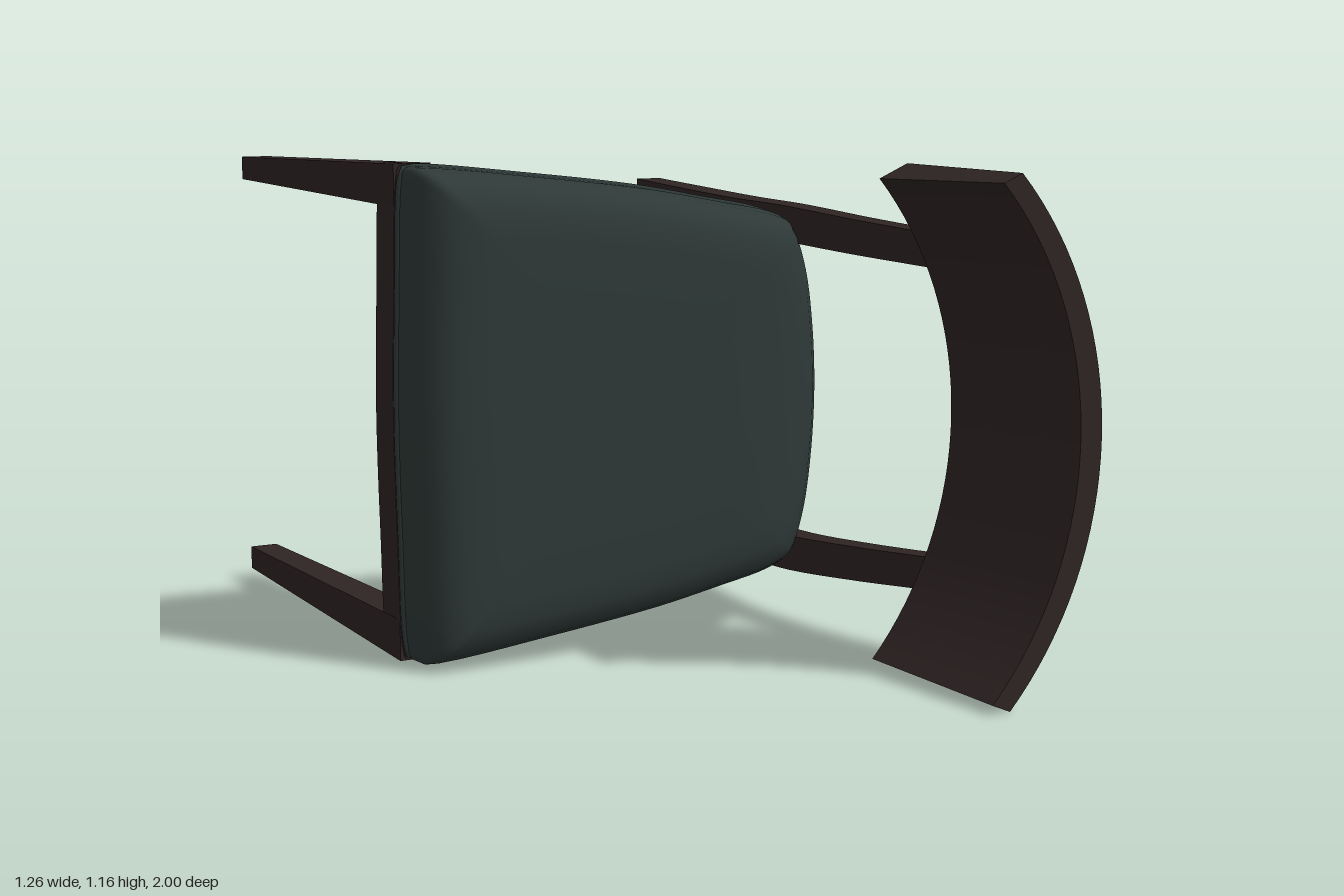
import * as THREE from 'three';
import { toCreasedNormals } from 'three/addons/utils/BufferGeometryUtils.js';

// Skins four-cornered sections; each side keeps its own vertices so long edges stay sharp.
function skin(sections) {
  const pos = [], idx = [], last = sections.length - 1;
  for (let k = 0; k < 4; k++) {
    const base = pos.length / 3;
    for (const s of sections) pos.push(...s[k], ...s[(k + 1) % 4]);
    for (let i = 0; i < last; i++) {
      const a = base + i * 2;
      idx.push(a, a + 1, a + 3, a, a + 3, a + 2);
    }
  }
  for (const [s, flip] of [[sections[0], true], [sections[last], false]]) {
    const b = pos.length / 3;
    for (const c of s) pos.push(...c);
    idx.push(...(flip ? [b, b + 2, b + 1, b, b + 3, b + 2] : [b, b + 1, b + 2, b, b + 2, b + 3]));
  }
  const g = new THREE.BufferGeometry();
  g.setAttribute('position', new THREE.Float32BufferAttribute(pos, 3));
  g.setIndex(idx);
  g.computeVertexNormals();
  return g;
}

// Closed smooth outline from one half, mirrored in y, counter-clockwise.
function outline(half, n) {
  const other = half.slice(1, -1).reverse().map(([x, y]) => [x, -y]);
  const pts = [...half, ...other].map(([x, y]) => new THREE.Vector3(x, y, 0));
  return new THREE.CatmullRomCurve3(pts, true, 'centripetal').getPoints(n).slice(0, n).reverse();
}

// The seat frame drops slightly towards the back.
const drop = (x) => -0.025 * (x + 0.6);

// Leg from rows of [z, x0, x1, y0, y1], smoothly interpolated; side mirrors it.
function leg(rows, side, steps) {
  const lo = new THREE.CatmullRomCurve3(rows.map(([z, x0, , y0]) => new THREE.Vector3(x0, y0, z)));
  const hi = new THREE.CatmullRomCurve3(rows.map(([z, , x1, , y1]) => new THREE.Vector3(x1, y1, z)));
  const sections = [];
  for (let i = 0; i <= steps; i++) {
    const a = lo.getPoint(i / steps), b = hi.getPoint(i / steps);
    const [y0, y1] = side > 0 ? [a.y, b.y] : [-b.y, -a.y];
    sections.push([[a.x, y0, a.z], [b.x, y0, b.z], [b.x, y1, b.z], [a.x, y1, a.z]]);
  }
  return skin(sections);
}

// Domed cushion: rings of the outline drawn in as they rise, plus a flat underside.
function cushionGeometry(ring) {
  const profile = [[-0.02, 0.008], [0.01, 0.004], [0.06, 0.006], [0.1, 0.016], [0.13, 0.034],
    [0.15, 0.06], [0.162, 0.095], [0.168, 0.15], [0.171, 0.25], [0.173, 0.4]];
  const n = ring.length, pos = [], idx = [], cx = -0.08;
  profile.forEach(([z, inset], r) => {
    const k = 1 - inset / 0.57;
    for (const p of ring) {
      const x = cx + (p.x - cx) * k;
      const sag = z > 0.05 ? -0.5 * Math.max(0, x - 0.22) ** 2 * 2 : 0;
      pos.push(x, p.y * k, z + sag + (z < 0.05 ? drop(x) : 0));
    }
    if (r) for (let i = 0; i < n; i++) {
      const a = (r - 1) * n + i, b = (r - 1) * n + (i + 1) % n;
      idx.push(a, b, b + n, a, b + n, a + n);
    }
  });
  const top = pos.length / 3, start = (profile.length - 1) * n;
  pos.push(cx, 0, 0.174);
  for (let i = 0; i < n; i++) idx.push(start + i, start + (i + 1) % n, top);
  const low = top + 1;
  pos.push(cx, 0, -0.02 + drop(cx));
  for (let i = 0; i < n; i++) pos.push(pos[i * 3], pos[i * 3 + 1], pos[i * 3 + 2]);
  for (let i = 0; i < n; i++) idx.push(low, low + 1 + (i + 1) % n, low + 1 + i);
  const g = new THREE.BufferGeometry();
  g.setAttribute('position', new THREE.Float32BufferAttribute(pos, 3));
  g.setIndex(idx);
  g.computeVertexNormals();
  return g;
}

export function createModel() {
  const wood = new THREE.MeshStandardMaterial({ color: 0x2f2424 });
  wood.name = 'dark wood';
  const leather = new THREE.MeshStandardMaterial({ color: 0x2e3937 });
  leather.name = 'dark green leather';

  const model = new THREE.Group();
  model.name = 'chair';
  const body = new THREE.Group();
  body.name = 'chairLyingOnSide';
  body.position.y = 0.58;
  model.add(body);
  const add = (name, geometry, material) => {
    const m = new THREE.Mesh(geometry, material);
    m.name = name;
    body.add(m);
  };

  // Seat frame: a ring of four rails
  const outer = outline([[-0.632, 0], [-0.626, 0.3], [-0.617, 0.54], [-0.607, 0.574], [-0.57, 0.576],
    [-0.3, 0.548], [0, 0.51], [0.2, 0.473], [0.35, 0.443], [0.4, 0.42], [0.45, 0.32],
    [0.483, 0.16], [0.494, 0]], 120);
  const inner = [[-0.54, 0.48], [-0.3, 0.462], [0, 0.425], [0.2, 0.39], [0.355, 0.355],
    [0.39, 0.2], [0.405, 0]];
  const hole = [...inner, ...inner.slice(0, -1).reverse().map(([x, y]) => [x, -y])];
  const shape = new THREE.Shape(outer.map((p) => new THREE.Vector2(p.x, p.y)));
  shape.holes.push(new THREE.Path(hole.map(([x, y]) => new THREE.Vector2(x, y))));
  const frame = new THREE.ExtrudeGeometry(shape, { depth: 0.1, bevelEnabled: false });
  const fp = frame.attributes.position;
  for (let i = 0; i < fp.count; i++) fp.setZ(i, fp.getZ(i) - 0.118 + drop(fp.getX(i)));
  add('seatFrame', toCreasedNormals(frame, 0.5), wood);

  // Cushion with piping around its lower edge
  add('seatCushion', cushionGeometry(outer), leather);
  const seam = new THREE.CatmullRomCurve3(
    outer.map((p) => new THREE.Vector3(p.x * 0.988, p.y * 0.988, -0.008 + drop(p.x))), true);
  add('cushionPiping', new THREE.TubeGeometry(seam, 160, 0.01, 6, true), leather);

  // Legs: straight tapered front pair, curved back pair that carries the backrest
  for (const [side, label] of [[1, 'Upper'], [-1, 'Lower']]) {
    add('frontLeg' + label, leg([
      [-1, -0.625, -0.555, 0.49, 0.548],
      [-0.02, -0.622, -0.53, 0.48, 0.578]], side, 1), wood);
    add('backLeg' + label, leg([
      [-1, 0.555, 0.627, 0.368, 0.455],
      [-0.6, 0.468, 0.545, 0.368, 0.455],
      [-0.2, 0.392, 0.467, 0.368, 0.455],
      [0.05, 0.382, 0.45, 0.365, 0.452],
      [0.3, 0.412, 0.475, 0.352, 0.435],
      [0.6, 0.48, 0.54, 0.335, 0.412]], side, 24), wood);
  }

  // Backrest: curved panel, thicker along its lower edge
  const arc = (apex, endX, endY, t) => {
    const s = apex - endX, r = (endY * endY + s * s) / (2 * s);
    const a = Math.asin(endY / r) * t;
    return [apex - r * (1 - Math.cos(a)), r * Math.sin(a)];
  };
  const sections = [];
  for (let i = 0; i <= 32; i++) {
    const t = i / 16 - 1;
    const [ox, oy] = arc(0.598, 0.365, 0.582, t);
    const [bx, by] = arc(0.5, 0.29, 0.55, t);
    const [tx, ty] = arc(0.54, 0.318, 0.562, t);
    sections.push([[bx, by, 0.585], [tx, ty, 1], [ox, oy, 1], [ox, oy, 0.585]]);
  }
  add('backrest', skin(sections), wood);
  return model;
}
